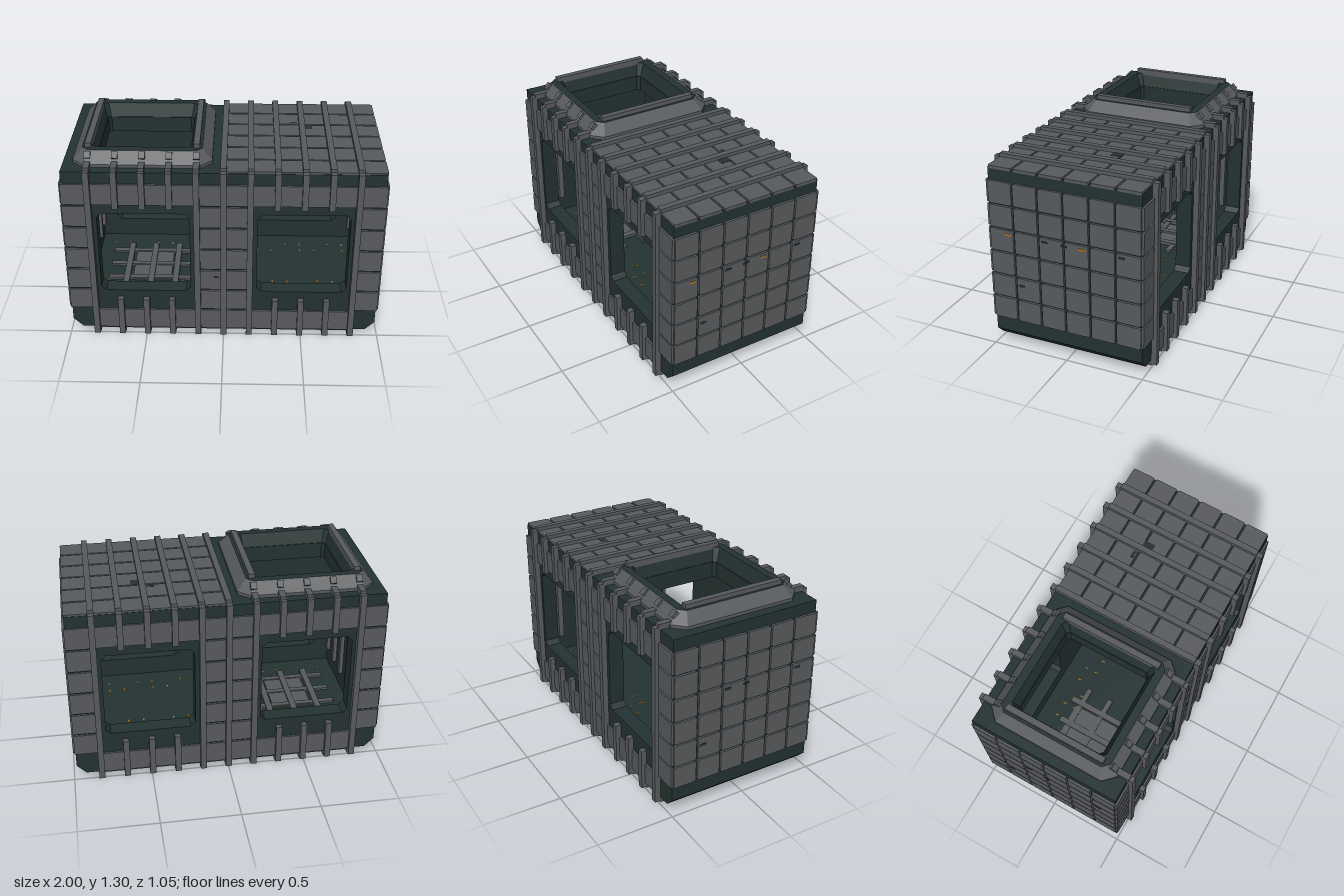
import * as THREE from 'three';
import { mergeGeometries } from 'three/addons/utils/BufferGeometryUtils.js';

const mat = (name, color) => {
  const m = new THREE.MeshStandardMaterial({ color });
  m.name = name;
  return m;
};

export function createModel() {
  const grey = mat('panel grey', 0x575a5d);
  const green = mat('dark green shell', 0x233231);
  const orange = mat('orange marks', 0xa87020);
  const black = mat('slot black', 0x2b2f31);
  const model = new THREE.Group();
  model.name = 'containerModule';

  const add = (name, geos, material) => {
    const list = [].concat(geos).map(g => (g.index ? g.toNonIndexed() : g));
    const mesh = new THREE.Mesh(mergeGeometries(list), material);
    mesh.name = name;
    model.add(mesh);
  };
  // box given by its extents on each axis
  const box = (x0, x1, y0, y1, z0, z1) =>
    new THREE.BoxGeometry(x1 - x0, y1 - y0, z1 - z0)
      .translate((x0 + x1) / 2, (y0 + y1) / 2, (z0 + z1) / 2);
  const poly = pts => pts.map(p => new THREE.Vector2(...p));
  // rectangle with cut corners
  const cutRect = (x, y, hx, hy, c) => [
    [hx, -hy + c], [hx, hy - c], [hx - c, hy], [-hx + c, hy],
    [-hx, hy - c], [-hx, -hy + c], [-hx + c, -hy], [hx - c, -hy],
  ].map(([a, b]) => [x + a, y + b]);
  const extrude = (shape, depth) =>
    new THREE.ExtrudeGeometry(shape, { depth, bevelEnabled: false, curveSegments: 2 });

  const P = 0.1645; // panel pitch along x and z
  const R = 0.1535; // panel pitch along y
  const Y0 = 0.193; // foot of the lowest side row

  // Shell: front and back walls with two window openings
  const profile = [[-0.98, 1.185], [-0.98, 0.1], [-0.92, 0.04], [0.92, 0.04], [0.98, 0.1], [0.98, 1.185]];
  const wall = new THREE.Shape(poly(profile));
  for (const s of [-1, 1])
    wall.holes.push(new THREE.Path(poly(cutRect(s * 0.495, 0.615, 0.285, 0.285, 0.03))));
  add('frontWall', extrude(wall, 0.1).translate(0, 0, 0.39), green);
  add('backWall', extrude(wall, 0.1).translate(0, 0, -0.49), green);
  add('endWalls', [-1, 1].map(s => box(-0.05, 0.05, 0.2, 1.08, -0.39, 0.39).translate(s * 0.93, 0, 0)), green);

  // Floor slab follows the chamfered foot
  const foot = profile.map(([x, y]) => [x, Math.min(y, 0.2)]);
  add('floor', extrude(new THREE.Shape(poly(foot)), 0.78).translate(0, 0, -0.39), green);

  // Roof slab with the hatch opening
  const roof = new THREE.Shape(poly(cutRect(0, 0, 0.98, 0.39, 0)));
  roof.holes.push(new THREE.Path(poly(cutRect(-0.495, 0, 0.285, 0.285, 0.02))));
  add('roof', extrude(roof, 0.105).rotateX(-Math.PI / 2).translate(0, 1.08, 0), green);

  // Rounded cover panel, facing +z, centred on its cell
  const tile = (w, h, r = 0.012) => {
    const s = new THREE.Shape(), a = w / 2, b = h / 2;
    s.moveTo(-a + r, -b).lineTo(a - r, -b).quadraticCurveTo(a, -b, a, -b + r)
      .lineTo(a, b - r).quadraticCurveTo(a, b, a - r, b)
      .lineTo(-a + r, b).quadraticCurveTo(-a, b, -a, b - r)
      .lineTo(-a, -b + r).quadraticCurveTo(-a, -b, -a + r, -b);
    return extrude(s, 0.018);
  };

  // Side panels around the windows
  const side = [];
  for (let r = -1; r < 6; r++)
    for (let c = -6; c < 6; c++) {
      const edge = c === -6 || c === 5;
      const use = r === 5 || (r === -1 ? !edge : edge || c === -1 || c === 0);
      if (use) side.push(tile(P - 0.002, R - 0.012, 0.004).translate((c + 0.5) * P, Y0 + (r + 0.5) * R, 0.485));
    }
  add('frontPanels', side, grey);
  add('backPanels', side.map(g => g.clone().rotateY(Math.PI)), grey);

  // End panels, six by six
  const end = [];
  for (let r = 0; r < 6; r++)
    for (let c = -3; c < 3; c++)
      end.push(tile(P - 0.011, R - 0.011).translate((c + 0.5) * P, Y0 + (r + 0.5) * R, 0.977));
  add('leftEndPanels', end.map(g => g.clone().rotateY(Math.PI / 2)), grey);
  add('rightEndPanels', end.map(g => g.clone().rotateY(-Math.PI / 2)), grey);

  // Roof panels on the left half, underside panels along the full base
  const top = [], under = [];
  for (let c = -6; c < 6; c++)
    for (let r = -3; r < 3; r++) {
      const x = (c + 0.5) * P, z = (r + 0.5) * P;
      if (c >= 0) top.push(tile(P - 0.008, P - 0.012).rotateX(-Math.PI / 2).translate(x, 1.179, z));
      if (c > -6 && c < 5) under.push(tile(P - 0.008, P - 0.012).rotateX(Math.PI / 2).translate(x, 0.046, z));
    }
  add('roofPanels', top, grey);
  add('undersidePanels', under, grey);

  // Ribs wrapping the body
  const ribs = [], w = 0.019;
  for (let k = -5; k <= 5; k++) {
    const x = k * P, full = Math.abs(k) < 2 || Math.abs(k) === 5;
    for (const s of [-1, 1]) {
      const upright = (y0, y1) => ribs.push(box(x - w, x + w, y0, y1, -0.02, 0.02).translate(0, 0, s * 0.506));
      if (full) upright(0.01, 1.2);
      else { upright(0.95, 1.2); upright(0.01, 0.28); }
      if (k < 0) ribs.push(box(x - w, x + w, 1.18, 1.22, -0.045, 0.045).translate(0, 0, s * 0.455));
    }
    ribs.push(box(x - w, x + w, 0, 0.045, -0.49, 0.49));
    if (k >= 0) ribs.push(box(x - w, x + w, 1.18, 1.22, -0.49, 0.49));
  }
  add('ribs', ribs, grey);

  // Hatch curb lofted through cut-corner loops
  const loft = loops => {
    const v = [];
    for (let l = 0; l + 1 < loops.length; l++)
      for (let i = 0; i < 8; i++) {
        const j = (i + 1) % 8, a = loops[l][i], b = loops[l][j], c = loops[l + 1][i], d = loops[l + 1][j];
        v.push(...a, ...c, ...b, ...b, ...c, ...d);
      }
    const g = new THREE.BufferGeometry();
    g.setAttribute('position', new THREE.Float32BufferAttribute(v, 3));
    g.setAttribute('uv', new THREE.Float32BufferAttribute(new Array(v.length / 3 * 2).fill(0), 2));
    g.computeVertexNormals();
    return g;
  };
  const ring = (hx, hz, c, y) => cutRect(-0.495, 0, hx, hz, c).map(([x, z]) => [x, y, z]);
  add('hatchCurb', loft([ring(0.425, 0.43, 0.07, 1.18), ring(0.425, 0.43, 0.07, 1.205), ring(0.365, 0.37, 0.04, 1.272)]), grey);
  add('hatchLining', loft([ring(0.365, 0.37, 0.04, 1.272), ring(0.315, 0.32, 0.03, 1.272), ring(0.285, 0.285, 0.02, 1.17)]), green);
  add('hatchRails', [-0.825, -0.165].map(x => box(x - 0.019, x + 0.019, 1.26, 1.3, -0.33, 0.33)), grey);
  const cleats = [];
  for (let k = -5; k <= -1; k++)
    for (const s of [-1, 1])
      cleats.push(box(-w, w, -0.012, 0.012, -0.022, 0.022).rotateX(s * 0.8).translate(k * P, 1.25, s * 0.393));
  add('hatchCleats', cleats, grey);

  // Interior: floor grating beneath the hatch and slats on the end walls
  const grate = [box(-0.62, -0.36, 0.195, 0.208, -0.19, 0.19)];
  for (const k of [-4, -3, -2]) grate.push(box(k * P - 0.02, k * P + 0.02, 0.195, 0.222, -0.24, 0.24));
  for (const k of [-1, 0, 1]) grate.push(box(-0.78, -0.21, 0.195, 0.215, k * P - 0.018, k * P + 0.018));
  add('floorGrating', grate, grey);
  const slats = [];
  for (const s of [-1, 1])
    for (let k = -2; k <= 2; k++)
      slats.push(box(-0.015, 0.015, 0.32, 0.9, -0.018, 0.018).translate(s * 0.87, 0, k * P));
  add('endWallSlats', slats, grey);

  // Small marks on floor, ends and roof
  const ticks = [];
  for (let c = -8; c <= 8; c++)
    for (const z of [-0.27, -0.19, 0.19, 0.27])
      if ((c + Math.round(z * 100)) % 3) ticks.push(box(-0.004, 0.004, 0.198, 0.203, -0.012, 0.012).translate(c * 0.1 + 0.02, 0, z));
  const plate = (z, y) => box(0.99, 0.998, y - 0.007, y + 0.007, z - 0.02, z + 0.02);
  for (const z of [0.37, -0.12]) ticks.push(plate(z, 0.775));
  add('orangeMarks', ticks, orange);
  const slots = [[0.125, 0.775], [0, 0.775], [-0.37, 0.775], [0.29, 0.445]].map(([z, y]) => plate(z, y));
  slots.push(...slots.map(g => g.clone().rotateY(Math.PI)));
  slots.push(box(0.415, 0.465, 1.192, 1.199, -0.2, -0.18), box(0.505, 0.56, 1.192, 1.199, -0.17, -0.1));
  slots.push(box(-0.06, -0.025, 0.44, 0.45, 0.499, 0.505));
  add('slots', slots, black);

  return model;
}
